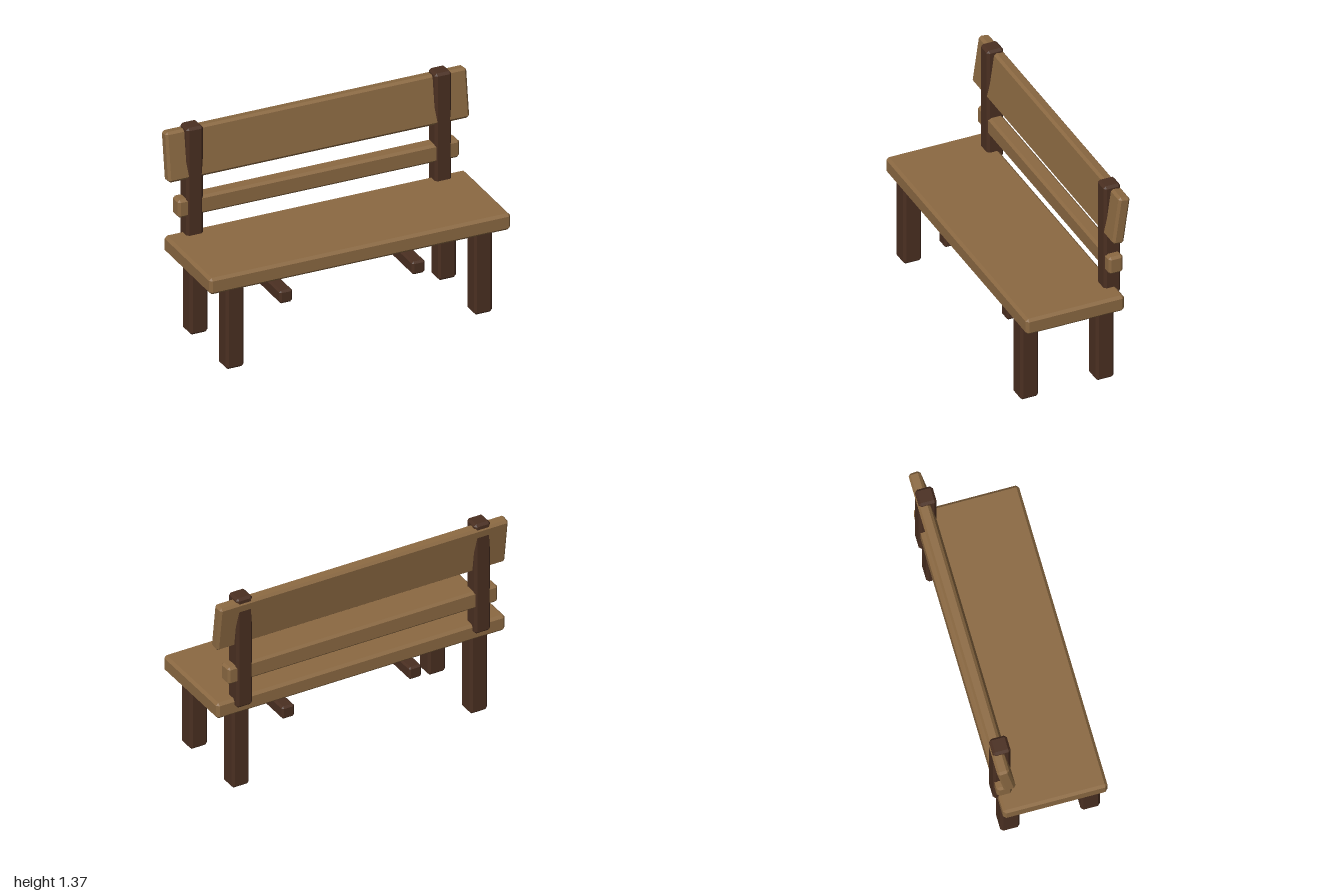
import * as THREE from 'three';
import { ConvexGeometry } from 'three/addons/geometries/ConvexGeometry.js';

// Box with a flat chamfer c on every edge, centred on its origin
function chamferBox(w, h, d, c) {
  const points = [];
  for (const sx of [-1, 1]) for (const sy of [-1, 1]) for (const sz of [-1, 1]) {
    const x = w / 2, y = h / 2, z = d / 2;
    points.push(
      new THREE.Vector3(sx * x, sy * (y - c), sz * (z - c)),
      new THREE.Vector3(sx * (x - c), sy * y, sz * (z - c)),
      new THREE.Vector3(sx * (x - c), sy * (y - c), sz * z));
  }
  return new ConvexGeometry(points);
}

export function createModel() {
  const plankWood = new THREE.MeshStandardMaterial({ color: 0x8b6942 });
  plankWood.name = 'plankWood';
  const frameWood = new THREE.MeshStandardMaterial({ color: 0x4a2f21 });
  frameWood.name = 'frameWood';

  const bench = new THREE.Group();
  bench.name = 'bench';

  function addBeam(name, material, size, position, chamfer = 0.015) {
    const mesh = new THREE.Mesh(chamferBox(...size, chamfer), material);
    mesh.name = name;
    mesh.position.set(...position);
    bench.add(mesh);
    return mesh;
  }

  // Seat plank
  addBeam('seat', plankWood, [2, 0.11, 0.65], [0, 0.59, 0.02], 0.017);

  // Backrest: straight lower rail and a wide board leaning back
  addBeam('lowerBackRail', plankWood, [1.87, 0.12, 0.095], [0, 0.83, -0.279]);
  const board = addBeam('upperBackBoard', plankWood, [2, 0.322, 0.075], [0, 1.181, -0.284]);
  board.rotation.x = -0.14;

  // Legs, back posts and loose stretchers, mirrored left and right
  for (const [side, s] of [['left', 1], ['right', -1]]) {
    addBeam(side + 'FrontLeg', frameWood, [0.12, 0.56, 0.12], [s * 0.825, 0.28, 0.27]);
    addBeam(side + 'BackLeg', frameWood, [0.12, 0.56, 0.12], [s * 0.825, 0.28, -0.23]);
    addBeam(side + 'BackPost', frameWood, [0.11, 0.775, 0.11], [s * 0.825, 0.978, -0.28]);
    addBeam(side + 'Stretcher', frameWood, [0.086, 0.086, 0.425], [s * 0.44, 0.353, 0.02], 0.012);
  }

  return bench;
}
